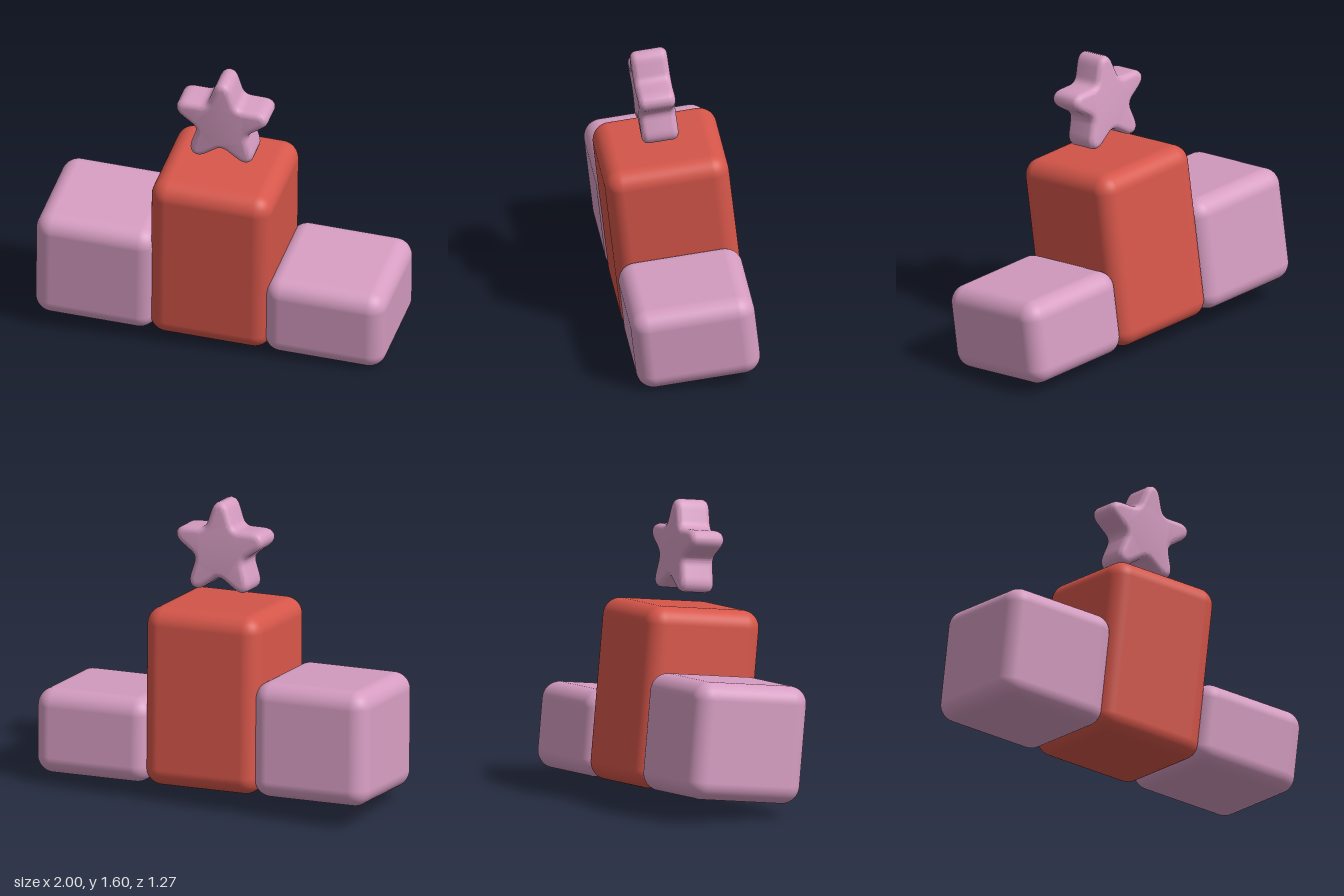
import * as THREE from 'three';
import { RoundedBoxGeometry } from 'three/addons/geometries/RoundedBoxGeometry.js';
import { mergeVertices, toCreasedNormals } from 'three/addons/utils/BufferGeometryUtils.js';

const pink = new THREE.MeshStandardMaterial({ name: 'soft pink', color: 0xd69dc2 });
const red = new THREE.MeshStandardMaterial({ name: 'warm red', color: 0xd6564a });

// Rounded podium block standing on the local base plane
function block(name, x, height, material) {
  const mesh = new THREE.Mesh(new RoundedBoxGeometry(0.67, height, 0.67, 8, 0.095), material);
  mesh.name = name;
  mesh.position.set(x, height / 2, 0);
  return mesh;
}

// Five-pointed outline with every tip and notch rounded by a curve
function starShape(outer, inner, cut) {
  const corners = [];
  for (let i = 0; i < 10; i++) {
    const a = Math.PI / 2 + (i * Math.PI) / 5;
    const r = i % 2 ? inner : outer;
    corners.push(new THREE.Vector2(Math.cos(a) * r, Math.sin(a) * r));
  }
  const shape = new THREE.Shape();
  corners.forEach((c, i) => {
    const from = c.clone().lerp(corners[(i + 9) % 10], cut);
    const to = c.clone().lerp(corners[(i + 1) % 10], cut);
    if (i === 0) shape.moveTo(from.x, from.y);
    else shape.lineTo(from.x, from.y);
    shape.quadraticCurveTo(c.x, c.y, to.x, to.y);
  });
  shape.closePath();
  return shape;
}

// Puffy star with a soft bevel
function star() {
  let geo = new THREE.ExtrudeGeometry(starShape(0.26, 0.1, 0.35), {
    depth: 0.13, bevelEnabled: true, bevelThickness: 0.035, bevelSize: 0.035,
    bevelSegments: 6, curveSegments: 10,
  });
  geo.translate(0, 0, -0.065);
  geo.deleteAttribute('uv');
  geo.deleteAttribute('normal');
  geo.clearGroups();
  geo = toCreasedNormals(mergeVertices(geo, 1e-4), 0.9);
  const mesh = new THREE.Mesh(geo, pink);
  mesh.name = 'star';
  mesh.position.y = 1.272;
  return mesh;
}

export function createModel() {
  const model = new THREE.Group();
  model.name = 'podium';

  // The whole podium is turned and leans slightly forward
  const tilted = new THREE.Group();
  tilted.name = 'tiltedPodium';
  tilted.position.set(0, 0.064, -0.031);
  tilted.rotation.set(0.12, -0.35, 0);
  tilted.add(
    block('secondPlaceBlock', -0.635, 0.63, pink),
    block('firstPlaceBlock', 0, 0.976, red),
    block('thirdPlaceBlock', 0.635, 0.465, pink),
    star(),
  );
  model.add(tilted);
  return model;
}
